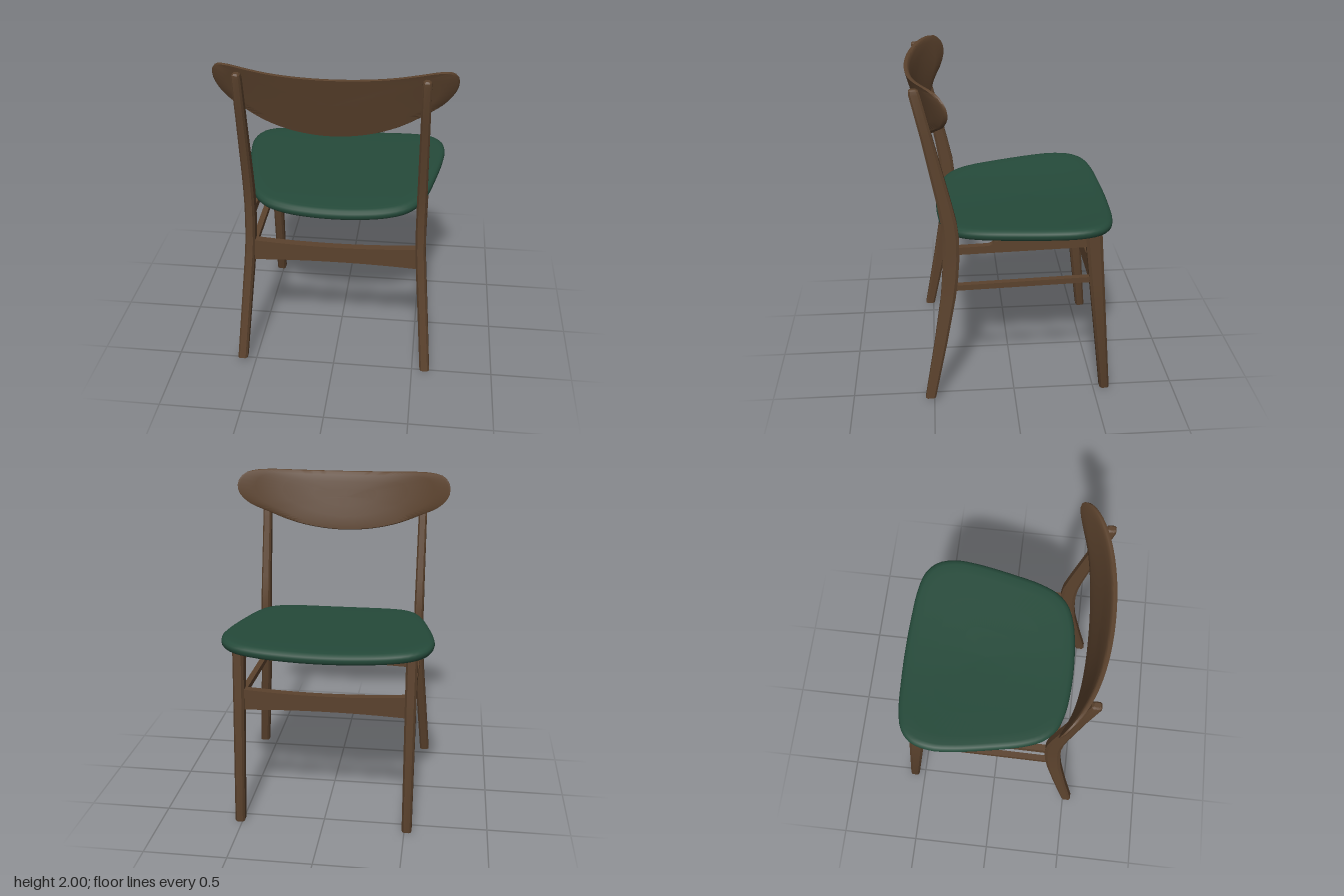
import * as THREE from 'three';
import { toCreasedNormals } from 'three/addons/utils/BufferGeometryUtils.js';

const wood = new THREE.MeshStandardMaterial({ color: 0x5b422d });
wood.name = 'walnut wood';
const fabric = new THREE.MeshStandardMaterial({ color: 0x254a3a });
fabric.name = 'green upholstery';

// Skin over stacked rings (bottom to top, counter-clockwise from the top), capped at both ends
function loft(rings, crease) {
  const n = rings[0].length, last = (rings.length - 1) * n;
  const pos = rings.flat().flatMap((p) => [p.x, p.y, p.z]);
  const index = [];
  for (let i = 0; i < rings.length - 1; i++) {
    for (let j = 0; j < n; j++) {
      const k = (j + 1) % n;
      const a = i * n + j, b = i * n + k, c = a + n, d = b + n;
      index.push(a, b, d, a, d, c);
    }
  }
  for (const ring of [rings[0], rings[rings.length - 1]]) {
    const c = ring.reduce((s, p) => s.add(p), new THREE.Vector3()).divideScalar(n);
    pos.push(c.x, c.y, c.z);
  }
  for (let j = 0; j < n; j++) {
    const k = (j + 1) % n;
    index.push(rings.length * n, k, j, rings.length * n + 1, last + j, last + k);
  }
  const g = new THREE.BufferGeometry();
  g.setAttribute('position', new THREE.Float32BufferAttribute(pos, 3));
  g.setIndex(index);
  g.computeVertexNormals();
  return crease ? toCreasedNormals(g, crease) : g;
}

// Leg with chamfered rectangular sections [y, x, z, width, depth]
function legGeometry(sections) {
  const c = 0.62;
  const corners = [[1, -c], [1, c], [c, 1], [-c, 1], [-1, c], [-1, -c], [-c, -1], [c, -1]];
  return loft(sections.map(([y, x, z, w, d]) => corners.map(([u, v]) =>
    new THREE.Vector3(x + u * w / 2, y, z - v * d / 2))), 0.5);
}

// Padded or bent panel: half outline is mirrored in x, profile is [scale, height] bottom to top
function panelGeometry(half, profile, centreV, place, crease) {
  const mirrored = half.slice(1, -1).reverse().map(([u, v]) => [-u, v]);
  const curve = new THREE.CatmullRomCurve3(
    [...half, ...mirrored].map(([u, v]) => new THREE.Vector3(u, v, 0)), true);
  const outline = curve.getSpacedPoints(96).slice(0, 96).reverse();
  return loft(profile.map(([s, h]) => outline.map((p) =>
    place(p.x * s, centreV + (p.y - centreV) * s, h))), crease);
}

// Side profile in (z, y), given a thickness in x
function sideGeometry(shape, x, width) {
  return new THREE.ExtrudeGeometry(shape, { depth: width, bevelEnabled: false })
    .rotateY(-Math.PI / 2).translate(x + width / 2, 0, 0);
}

// Cross bar whose top dips and underside arches towards the middle
function crossBarGeometry(bottom, top, z) {
  const s = new THREE.Shape();
  s.moveTo(-0.5, bottom);
  s.quadraticCurveTo(0, bottom + 0.03, 0.5, bottom);
  s.lineTo(0.5, top);
  s.quadraticCurveTo(0, top - 0.04, -0.5, top);
  return new THREE.ExtrudeGeometry(s, { depth: 0.05, bevelEnabled: false, curveSegments: 16 })
    .translate(0, 0, z - 0.025);
}

export function createModel() {
  const chair = new THREE.Group();
  chair.name = 'chair';
  const add = (name, geometry, material = wood) => {
    const mesh = new THREE.Mesh(geometry, material);
    mesh.name = name;
    chair.add(mesh);
  };

  // Dished seat cushion, rising slightly towards -z
  const seatOutline = [[0, -0.615], [0.2, -0.61], [0.4, -0.595], [0.53, -0.56], [0.605, -0.49],
    [0.637, -0.37], [0.63, -0.24], [0.588, 0], [0.54, 0.2], [0.49, 0.31], [0.42, 0.38],
    [0.3, 0.425], [0.15, 0.446], [0, 0.452]];
  const seatProfile = [[0.02, -0.03], [0.3, -0.03], [0.6, -0.032], [0.85, -0.034], [0.95, -0.034],
    [0.98, -0.03], [0.995, -0.018], [1, -0.002], [0.995, 0.012], [0.975, 0.025], [0.94, 0.031],
    [0.85, 0.034], [0.6, 0.036], [0.3, 0.037], [0.02, 0.037]];
  add('seat', panelGeometry(seatOutline, seatProfile, -0.1, (x, z, h) =>
    new THREE.Vector3(x, 1.08 - 0.035 * z + 0.09 * x * x + h, z)), fabric);

  // Backrest, bent around the sitter and leaning back
  const backOutline = [[0, 1.982], [0.3, 1.988], [0.48, 1.998], [0.58, 1.999], [0.65, 1.983],
    [0.686, 1.935], [0.68, 1.87], [0.62, 1.797], [0.5, 1.732], [0.36, 1.67], [0.2, 1.628],
    [0, 1.61]];
  const backProfile = [[0.02, -0.03], [0.3, -0.03], [0.6, -0.03], [0.85, -0.028], [0.98, -0.024],
    [1, -0.019], [1, -0.007], [0.985, 0], [0.85, 0], [0.6, 0], [0.3, 0], [0.02, 0]];
  add('backrest', panelGeometry(backOutline, backProfile, 1.82, (x, y, h) =>
    new THREE.Vector3(x, y, 0.612 - 0.26 * (1.98 - y) - 0.28 * x * x - 0.3 * x ** 4 + h), 0.7));

  // Stepped seat rail and thin stretcher profiles
  const rail = new THREE.Shape();
  rail.moveTo(0.36, 0.98);
  rail.lineTo(0.36, 1.025);
  rail.lineTo(0.16, 1.032);
  rail.quadraticCurveTo(0.13, 1.034, 0.12, 1.06);
  rail.lineTo(-0.45, 1.08);
  rail.lineTo(-0.45, 1.002);
  const stretcher = new THREE.Shape([[0.38, 0.74], [0.38, 0.775], [-0.48, 0.8], [-0.48, 0.765]]
    .map(([z, y]) => new THREE.Vector2(z, y)));

  for (const [side, s] of [['left', 1], ['right', -1]]) {
    // Post running from the splayed foot up behind the backrest
    add(side + 'BackPost', legGeometry([
      [0.03, s * 0.58, 0.522, 0.06, 0.062], [0.4, s * 0.552, 0.449, 0.061, 0.076],
      [0.7, s * 0.528, 0.396, 0.062, 0.088], [0.82, s * 0.52, 0.382, 0.062, 0.094],
      [0.95, s * 0.516, 0.373, 0.061, 0.097], [1.08, s * 0.515, 0.372, 0.06, 0.096],
      [1.18, s * 0.515, 0.381, 0.06, 0.092], [1.3, s * 0.515, 0.403, 0.058, 0.084],
      [1.7, s * 0.515, 0.489, 0.054, 0.066], [1.95, s * 0.515, 0.546, 0.052, 0.062],
      [1.97, s * 0.515, 0.55, 0.044, 0.054], [1.979, s * 0.515, 0.552, 0.026, 0.034]]));
    // Straight leg raked out under the wide end of the seat
    add(side + 'FrontLeg', legGeometry([
      [0, s * 0.515, -0.571, 0.054, 0.054], [0.01, s * 0.515, -0.57, 0.06, 0.06],
      [0.8, s * 0.513, -0.492, 0.066, 0.09], [1.085, s * 0.513, -0.464, 0.068, 0.1]]));
    add(side + 'SeatRail', sideGeometry(rail, s * 0.515, 0.04));
    add(side + 'Stretcher', sideGeometry(stretcher, s * 0.515, 0.036));
  }

  // Broad bars joining each pair of legs
  add('backCrossBar', crossBarGeometry(0.7, 0.838, 0.387));
  add('frontCrossBar', crossBarGeometry(0.72, 0.853, -0.488));
  return chair;
}
